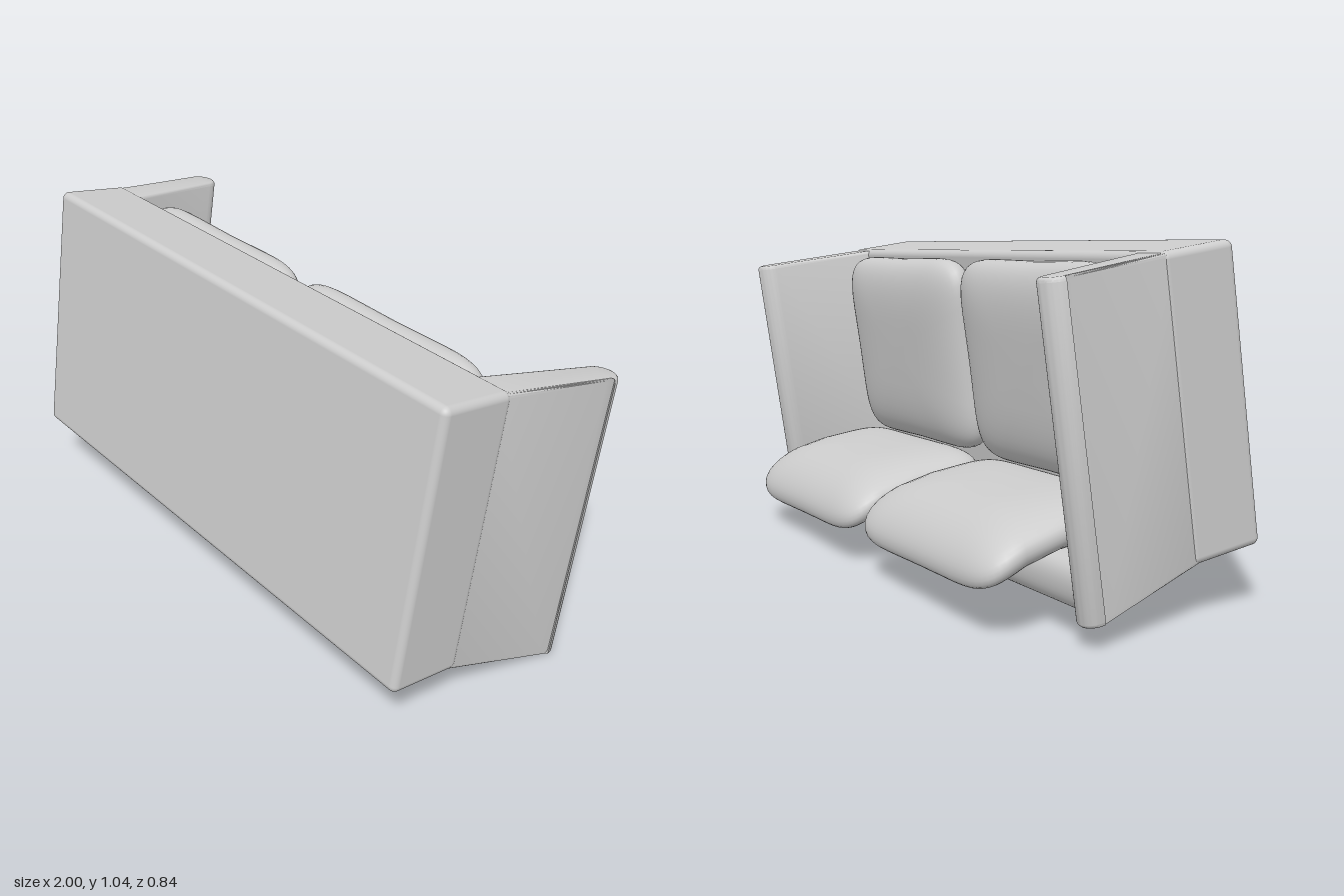
import * as THREE from 'three';
import { mergeVertices, toCreasedNormals } from 'three/addons/utils/BufferGeometryUtils.js';
import { RoundedBoxGeometry } from 'three/addons/geometries/RoundedBoxGeometry.js';

const fabric = new THREE.MeshStandardMaterial({ color: 0xcccccc });
fabric.name = 'greyFabric';

function part(name, geometry) {
  const mesh = new THREE.Mesh(geometry, fabric);
  mesh.name = name;
  return mesh;
}

const power = (value, e) => Math.sign(value) * Math.abs(value) ** e;

// Puffy pillow: a squared-off sphere, thin along z, with pulled corners
// and an edge at +y that sags by the given amount
function pillow(width, height, depth, sag = 0) {
  let geo = new THREE.SphereGeometry(1, 48, 24).rotateX(Math.PI / 2);
  geo.deleteAttribute('normal');
  geo.deleteAttribute('uv');
  geo = mergeVertices(geo, 1e-4);
  const p = geo.attributes.position;
  for (let i = 0; i < p.count; i++) {
    const x = p.getX(i), y = p.getY(i), z = p.getZ(i);
    const r = Math.hypot(x, y);
    const rho = r ** 0.5;
    const a = r > 1e-5 ? rho * power(x / r, 0.35) : 0;
    const b = r > 1e-5 ? rho * power(y / r, 0.35) : 0;
    const px = a * (0.96 + 0.05 * b * b);
    const py = b * (0.96 + 0.05 * a * a);
    p.setXYZ(i, px * width / 2, py * height / 2,
      power(z, 0.9) * depth / 2 - sag * Math.max(0, b) ** 2);
  }
  geo.computeVertexNormals();
  return geo;
}

// Splayed arm: rounded at its front end, its underside dropping forwards
function armGeometry(side) {
  const shape = new THREE.Shape();
  shape.moveTo(0.913, -0.22);
  shape.lineTo(0.974, 0.145);
  shape.absarc(0.935, 0.143, 0.039, 0, Math.PI, false);
  shape.lineTo(0.812, -0.22);
  shape.closePath();
  const b = 0.012;
  let geo = new THREE.ExtrudeGeometry(shape, {
    depth: 0.853 - 2 * b, bevelEnabled: true, bevelSize: b, bevelThickness: b,
    bevelSegments: 3, curveSegments: 16,
  });
  geo.rotateX(-Math.PI / 2).translate(0, 0.113 + b, 0);
  const p = geo.attributes.position;
  for (let i = 0; i < p.count; i++) {
    p.setX(i, p.getX(i) * side);
    if (p.getY(i) < 0.5) p.setY(i, p.getY(i) - 0.127 * (0.217 - p.getZ(i)));
  }
  // Mirroring turns the faces inside out, so swap two corners of each
  if (side < 0) {
    for (let i = 0; i < p.count; i += 3) {
      const v = new THREE.Vector3().fromBufferAttribute(p, i);
      p.setXYZ(i, p.getX(i + 1), p.getY(i + 1), p.getZ(i + 1));
      p.setXYZ(i + 1, v.x, v.y, v.z);
    }
  }
  geo.deleteAttribute('uv');
  geo.clearGroups();
  geo.computeVertexNormals();
  return toCreasedNormals(geo, 0.6);
}

// Seat base: side profile with a rolled front edge, run between the arms
function baseGeometry() {
  const s = new THREE.Shape();
  s.moveTo(-0.24, 0.118);
  s.lineTo(0.11, 0.077);
  s.quadraticCurveTo(0.175, 0.07, 0.175, 0.14);
  s.quadraticCurveTo(0.175, 0.215, 0.11, 0.215);
  s.lineTo(-0.24, 0.215);
  s.closePath();
  let geo = new THREE.ExtrudeGeometry(s, { depth: 1.78, bevelEnabled: false, curveSegments: 10 });
  geo.translate(0, 0, -0.89).rotateY(Math.PI / 2);
  geo.clearGroups();
  return toCreasedNormals(geo, 0.6);
}

export function createModel() {
  const model = new THREE.Group();
  model.name = 'sofa';
  const body = new THREE.Group();
  body.name = 'tiltedSofa';
  model.add(body);

  const back = part('backrest', new RoundedBoxGeometry(1.86, 0.857, 0.245, 4, 0.022));
  back.position.set(0, 0.5415, 0.3185);
  body.add(back, part('seatBase', baseGeometry()));

  for (const side of [-1, 1]) {
    const label = side > 0 ? 'left' : 'right';
    body.add(part(label + 'Arm', armGeometry(side)));

    const seat = part(label + 'SeatCushion', pillow(0.82, 0.53, 0.15, 0.08));
    seat.rotation.x = -Math.PI / 2;
    seat.position.set(-0.03 + side * 0.41, 0.275, -0.135);

    const rest = part(label + 'BackCushion', pillow(0.81, 0.66, 0.17));
    rest.position.set(-0.01 + side * 0.4, 0.635, 0.13);
    body.add(seat, rest);
  }

  // The whole sofa leans forwards and a little sideways
  body.rotation.set(-0.131, 0.003, -0.032, 'ZYX');
  body.position.x = -0.0155;
  return model;
}
